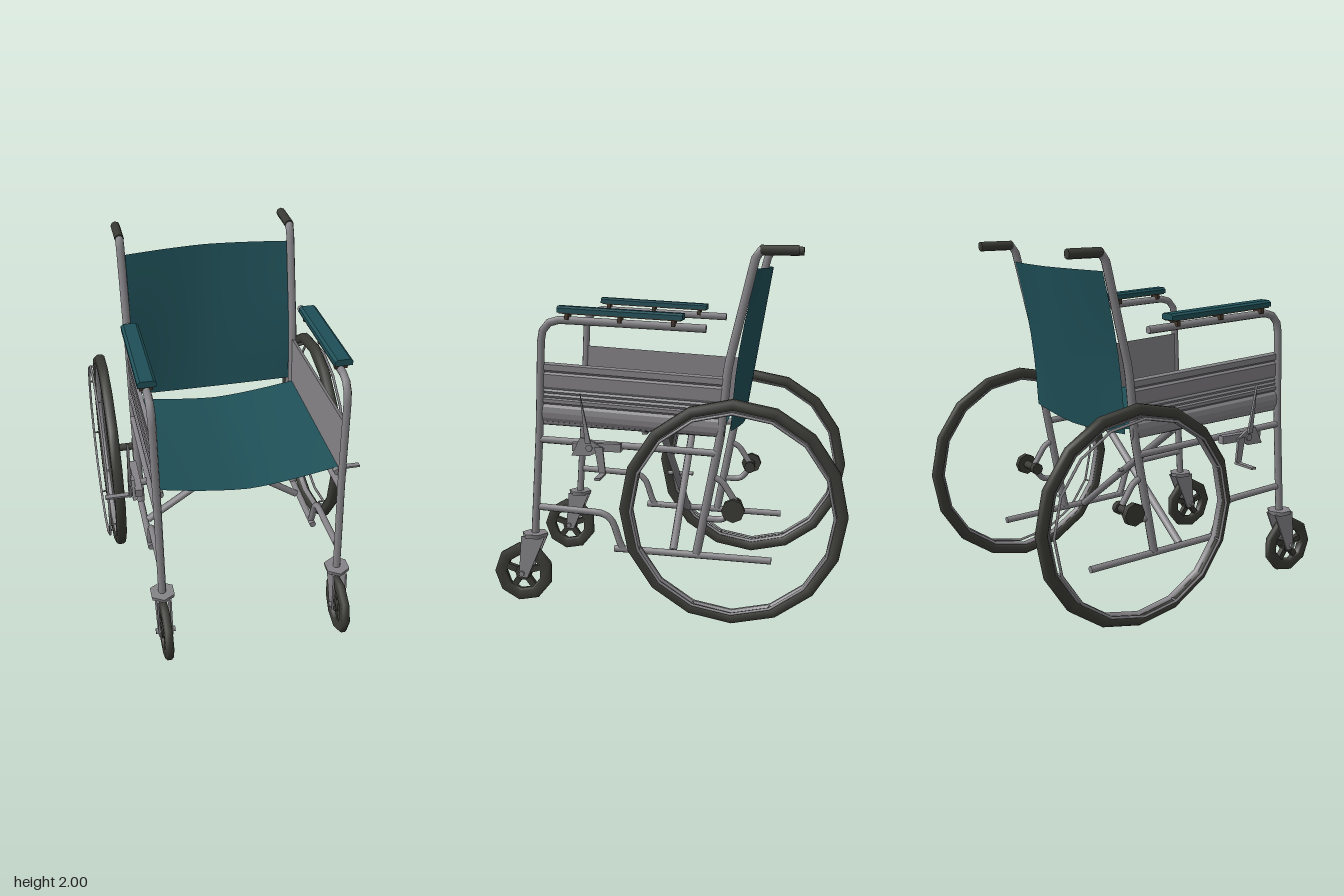
import * as THREE from 'three';
import { mergeGeometries } from 'three/addons/utils/BufferGeometryUtils.js';

const mat = (name, color) => new THREE.MeshStandardMaterial({ name, color, side: THREE.DoubleSide });
const V = (x, y, z) => new THREE.Vector3(x, y, z);

export function createModel() {
  const steel = mat('steel grey', 0x858387);
  const teal = mat('teal vinyl', 0x1f5058);
  const rubber = mat('dark rubber', 0x3a3a35);
  const brown = mat('brown backing', 0x43352a);
  const model = new THREE.Group();
  model.name = 'wheelchair';

  const add = (name, geo, material, parent = model) => {
    const mesh = new THREE.Mesh(geo, material);
    mesh.name = name;
    parent.add(mesh);
  };

  // Capped tube through points, with rounded corners
  const tube = (name, pts, r, material, parent, bend = 0.06, sides = 8) => {
    const path = new THREE.CurvePath();
    let from = pts[0];
    for (let i = 1; i < pts.length - 1; i++) {
      const [a, p, b] = [pts[i - 1], pts[i], pts[i + 1]];
      const c = p.clone().lerp(a, Math.min(0.45, bend / p.distanceTo(a)));
      const d = p.clone().lerp(b, Math.min(0.45, bend / p.distanceTo(b)));
      path.add(new THREE.LineCurve3(from, c));
      path.add(new THREE.QuadraticBezierCurve3(c, p, d));
      from = d;
    }
    const end = pts[pts.length - 1];
    path.add(new THREE.LineCurve3(from, end));
    const parts = [new THREE.TubeGeometry(path, pts.length > 2 ? 36 : 1, r, sides)];
    for (const [p, q] of [[pts[0], pts[1]], [end, pts[pts.length - 2]]]) {
      const dir = p.clone().sub(q).normalize();
      const cap = new THREE.CircleGeometry(r, sides);
      cap.applyQuaternion(new THREE.Quaternion().setFromUnitVectors(V(0, 0, 1), dir));
      parts.push(cap.translate(p.x, p.y, p.z));
    }
    add(name, mergeGeometries(parts), material, parent);
  };

  // Ring with its axle along x
  const ring = (name, inner, outer, half, sides, pos, material, parent) => {
    const prof = [[inner, -half * 0.5], [inner + 0.012, -half], [outer - 0.012, -half], [outer, -half * 0.5],
      [outer, half * 0.5], [outer - 0.012, half], [inner + 0.012, half], [inner, half * 0.5], [inner, -half * 0.5]];
    const geo = new THREE.LatheGeometry(prof.map(p => new THREE.Vector2(...p)), sides);
    add(name, geo.rotateZ(Math.PI / 2).translate(...pos), material, parent);
  };

  // Disc or rod with its axis along x
  const rod = (name, r, len, pos, material, parent, sides = 10) =>
    add(name, new THREE.CylinderGeometry(r, r, len, sides).rotateZ(Math.PI / 2).translate(...pos), material, parent);

  // Flat plate drawn in (z, y), extruded along x
  const plate = (name, pts, x, thick, material, parent) => {
    const shape = new THREE.Shape(pts.map(p => new THREE.Vector2(...p)));
    const geo = new THREE.ExtrudeGeometry(shape, { depth: thick, bevelEnabled: false });
    add(name, geo.translate(0, 0, -thick / 2).rotateY(-Math.PI / 2).translate(x, 0, 0), material, parent);
  };

  // Cloth sheet from a rule over u (-1..1 across) and v (0..1)
  const sheet = (name, rule) => {
    const geo = new THREE.PlaneGeometry(2, 1, 12, 6);
    const p = geo.attributes.position;
    for (let i = 0; i < p.count; i++) p.setXYZ(i, ...rule(p.getX(i), p.getY(i) + 0.5));
    geo.computeVertexNormals();
    add(name, geo, teal);
  };
  const sag = u => 1 - Math.pow(Math.abs(u), 1.5);
  sheet('seat', (u, v) => [u * 0.495, 1.068 - 0.035 * v - (0.072 - 0.015 * v) * sag(u), 0.67 - 0.95 * v]);
  sheet('backrest', (u, v) => [u * 0.488, 1.015 - 0.025 * sag(u) * (1 - v) + 0.865 * v,
    -0.35 - 0.135 * v - sag(u) * (0.035 + 0.02 * v) + 0.025 * u * u * Math.sin(Math.PI * v)]);

  // Folding cross braces and pivot
  for (const [s, z] of [[1, 0.02], [-1, -0.035]])
    tube('crossBrace', [V(-s * 0.48, 0.33, z), V(s * 0.48, 1.0, z)], 0.022, steel, model);
  tube('bracePivot', [V(0, 0.665, 0.07), V(0, 0.665, -0.08)], 0.012, steel, model);

  for (const s of [1, -1]) {
    const side = new THREE.Group();
    side.name = s > 0 ? 'leftSide' : 'rightSide';
    model.add(side);
    const P = (x, y, z) => V(s * x, y, z);

    // Frame tubes
    tube('armFrame', [P(0.505, 0.4, 0.745), P(0.505, 1.0, 0.705), P(0.51, 1.61, 0.68), P(0.51, 1.565, -0.22)],
      0.022, steel, side, 0.12);
    tube('backPost', [P(0.5, 0.33, -0.17), P(0.5, 1.0, -0.3), P(0.5, 1.36, -0.335), P(0.5, 1.975, -0.485), P(0.5, 1.975, -0.55)],
      0.024, steel, side, 0.06);
    tube('handGrip', [P(0.5, 1.975, -0.5), P(0.5, 1.972, -0.7)], 0.027, rubber, side);
    tube('lowerRail', [P(0.5, 0.56, 0.72), P(0.5, 0.535, 0.31), P(0.5, 0.335, 0.25), P(0.5, 0.335, 0.22), P(0.5, 0.305, -0.58)],
      0.02, steel, side, 0.08);
    tube('footrestStub', [P(0.5, 0.337, 0.29), P(0.5, 0.335, 0.2)], 0.02, steel, side);
    tube('middleRail', [P(0.505, 0.945, 0.7), P(0.505, 0.895, -0.28)], 0.02, steel, side);
    tube('seatRail', [P(0.485, 1.045, 0.69), P(0.485, 1.0, -0.3)], 0.02, steel, side);

    // Ribbed side panel, sheared to follow the frame
    const ribs = [[0, 0], [0.016, 0.005], [0.025, 0.025], [0.028, 0.055], [0.024, 0.085], [0.012, 0.1], [0.022, 0.11],
      [0.022, 0.128], [0.012, 0.136], [0.02, 0.148], [0.012, 0.16], [0.02, 0.172], [0.012, 0.184], [0.02, 0.197],
      [0.022, 0.265], [0.01, 0.277], [0.022, 0.288], [0.022, 0.32], [0, 0.33]];
    const outline = new THREE.Shape(ribs.map(([x, y]) => new THREE.Vector2(s * (0.492 + x), y)));
    const panel = new THREE.ExtrudeGeometry(outline, { depth: 1.02, bevelEnabled: false }).translate(0, 0, -0.32);
    const p = panel.attributes.position;
    for (let i = 0; i < p.count; i++) p.setY(i, p.getY(i) + 1.0 + 0.064 * p.getZ(i));
    panel.computeVertexNormals();
    add('sidePanel', panel, steel, side);

    // Armrest pad with backing and mounts
    const pad = new THREE.Group();
    pad.name = 'armrest';
    pad.position.set(s * 0.512, 1.645, 0.24);
    pad.rotation.x = -0.055;
    side.add(pad);
    const bar = [[-0.049, -0.016], [0.049, -0.016], [0.049, 0.008], [0.034, 0.019], [-0.034, 0.019], [-0.049, 0.008]];
    add('armPad', new THREE.ExtrudeGeometry(new THREE.Shape(bar.map(q => new THREE.Vector2(...q))),
      { depth: 0.68, bevelEnabled: false }).translate(0, 0, -0.34), teal, pad);
    add('padBacking', new THREE.BoxGeometry(0.09, 0.006, 0.66).translate(0, -0.019, 0), brown, pad);
    for (const z of [-0.29, 0, 0.29])
      add('padMount', new THREE.BoxGeometry(0.07, 0.035, 0.02).translate(0, -0.036, z), brown, pad);

    // Rear wheel, push rim and its tabs
    const [wy, wz] = [0.61, -0.38];
    ring('rearTire', 0.546, 0.605, 0.03, 16, [s * 0.66, wy, wz], rubber, side);
    ring('rearRim', 0.532, 0.556, 0.018, 16, [s * 0.66, wy, wz], steel, side);
    add('pushRim', new THREE.TorusGeometry(0.537, 0.008, 6, 16).rotateY(Math.PI / 2)
      .translate(s * 0.722, wy, wz), steel, side);
    for (let i = 0; i < 8; i++) {
      const a = (i + 0.5) * Math.PI / 4, c = Math.cos(a) * 0.536, d = Math.sin(a) * 0.536;
      tube('pushRimTab', [P(0.685, wy + c, wz + d), P(0.722, wy + c, wz + d)], 0.006, steel, side, 0, 5);
    }

    // Rear axle, hub and bracket
    rod('rearAxle', 0.024, 0.16, [s * 0.55, wy, wz], rubber, side);
    rod('hubCap', 0.035, 0.035, [s * 0.475, wy, wz], rubber, side);
    rod('hubDisc', 0.063, 0.035, [s * 0.615, wy, wz], rubber, side, 8);
    tube('axleBracketUpper', [P(0.5, 0.77, -0.25), P(0.5, 0.74, -0.31), P(0.5, 0.63, -0.38)], 0.018, steel, side, 0.03);
    tube('axleBracketLower', [P(0.5, 0.53, -0.21), P(0.5, 0.525, -0.32), P(0.5, 0.6, -0.38)], 0.018, steel, side, 0.04);

    // Parking brake
    add('brakeClamp', new THREE.BoxGeometry(0.04, 0.045, 0.27).translate(s * 0.575, 0.925, 0.365), steel, side);
    rod('brakePin', 0.02, 0.12, [s * 0.56, 0.925, 0.4], steel, side, 6);
    plate('brakePlate', [[0.5, 0.88], [0.45, 0.98], [0.4, 0.97], [0.32, 0.92], [0.4, 0.88]], s * 0.6, 0.02, steel, side);
    plate('brakeLever', [[0.445, 1.22], [0.39, 0.95], [0.42, 0.95]], s * 0.615, 0.015, steel, side);
    plate('brakeArm', [[0.37, 0.93], [0.345, 0.78], [0.31, 0.78], [0.325, 0.93]], s * 0.61, 0.015, steel, side);
    add('brakeShoe', new THREE.BoxGeometry(0.15, 0.012, 0.03).translate(s * 0.675, 0.785, 0.325), steel, side);

    // Front caster
    const [cx, cy, cz] = [s * 0.505, 0.18, 0.815];
    ring('casterTire', 0.1, 0.168, 0.024, 9, [cx, cy, cz], rubber, side);
    rod('casterHub', 0.045, 0.05, [cx, cy, cz], rubber, side);
    for (let i = 0; i < 5; i++)
      add('casterSpoke', new THREE.BoxGeometry(0.03, 0.09, 0.034).translate(0, 0.07, 0)
        .rotateX(i * Math.PI * 0.4).translate(cx, cy, cz), rubber, side);
    rod('casterAxle', 0.016, 0.11, [cx, cy, cz], steel, side, 6);
    add('casterCrown', new THREE.CylinderGeometry(0.074, 0.07, 0.024, 6).translate(cx, 0.4, 0.745), steel, side);
    for (const k of [-1, 1])
      plate('casterFork', [[0.815, 0.395], [0.68, 0.395], [0.785, 0.155], [0.835, 0.155]], cx + k * 0.036, 0.01, steel, side);
  }
  return model;
}
